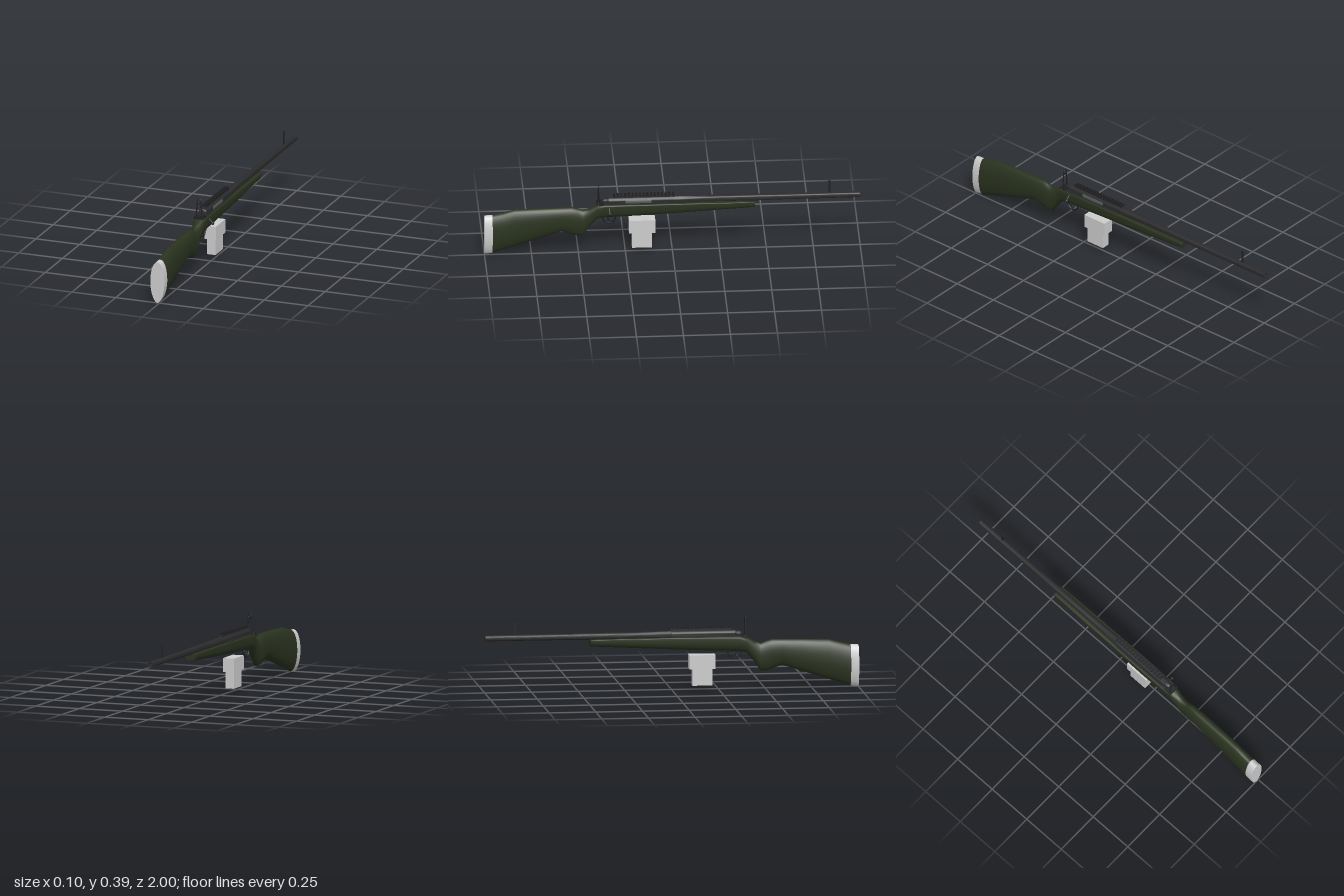
import * as THREE from 'three';
import { toCreasedNormals } from 'three/addons/utils/BufferGeometryUtils.js';

const CX = -0.012; // centre plane of the rifle
const BORE = 0.297; // height of the barrel axis

// Skin rings along z. Section: [z, top, bottom, halfWidth, widestHeight 0..1, topPower, bottomPower]
// A power of 1 is elliptical, lower is boxier, higher is more pointed.
function loft(sections, n = 32) {
  const pos = [], idx = [];
  const ring = ([z, top, bot, hw, mid, pt, pb]) => {
    const start = pos.length / 3, yc = bot + (top - bot) * mid;
    for (let j = 0; j < n; j++) {
      const t = (j / n) * Math.PI * 2, c = Math.cos(t), s = Math.sin(t);
      const p = s >= 0 ? pt : pb, h = s >= 0 ? top - yc : yc - bot;
      pos.push(CX + hw * Math.sign(c) * Math.abs(c) ** p, yc + h * Math.sign(s) * Math.abs(s) ** p, z);
    }
    return start;
  };
  const starts = sections.map(ring);
  for (let i = 0; i < starts.length - 1; i++) {
    for (let j = 0; j < n; j++) {
      const k = (j + 1) % n;
      const a = starts[i] + j, b = starts[i] + k, c = starts[i + 1] + j, d = starts[i + 1] + k;
      idx.push(a, c, b, b, c, d);
    }
  }
  // End caps with their own vertices, so the rims stay sharp
  [sections[0], sections[sections.length - 1]].forEach((sec, e) => {
    const s = ring(sec), m = pos.length / 3;
    pos.push(CX, sec[2] + (sec[1] - sec[2]) * sec[4], sec[0]);
    for (let j = 0; j < n; j++) {
      const k = (j + 1) % n;
      if (e === 0) idx.push(m, s + j, s + k);
      else idx.push(m, s + k, s + j);
    }
  });
  const g = new THREE.BufferGeometry();
  g.setAttribute('position', new THREE.Float32BufferAttribute(pos, 3));
  g.setIndex(idx);
  g.computeVertexNormals();
  return g;
}

export function createModel() {
  const root = new THREE.Group();
  root.name = 'rifle';
  const mat = (name, color) => {
    const m = new THREE.MeshStandardMaterial({ color });
    m.name = name;
    return m;
  };
  const green = mat('olive green', 0x2a331f);
  const metal = mat('dark gunmetal', 0x2b2b2d);
  const black = mat('black steel', 0x1f1f21);
  const steel = mat('bolt steel', 0x585a5a);
  const pale = mat('pale grey', 0xcccccc);

  const add = (name, geo, material, x = 0, y = 0, z = 0, parent = root) => {
    const m = new THREE.Mesh(geo, material);
    m.name = name;
    m.position.set(x, y, z);
    parent.add(m);
    return m;
  };
  const box = (name, w, h, d, material, x, y, z, parent) =>
    add(name, new THREE.BoxGeometry(w, h, d), material, x, y, z, parent);
  // Round rod between two points
  const rod = (name, a, b, r, material, parent = root, r2 = r) => {
    const from = new THREE.Vector3(...a), dir = new THREE.Vector3(...b).sub(from);
    const m = add(name, new THREE.CylinderGeometry(r2, r, dir.length(), 12), material, 0, 0, 0, parent);
    m.position.copy(from).addScaledVector(dir, 0.5);
    m.quaternion.setFromUnitVectors(new THREE.Vector3(0, 1, 0), dir.normalize());
    return m;
  };
  // Lathe turned about the bore; points are [radius, distance toward the muzzle]
  const turned = (name, points, material) => {
    const g = new THREE.LatheGeometry(points.map(([r, d]) => new THREE.Vector2(r, d)), 24);
    g.rotateX(-Math.PI / 2);
    return add(name, toCreasedNormals(g, 0.6), material, CX, BORE, 0);
  };

  // Butt pad and stock
  add('buttPad', loft([
    [1.0, 0.228, 0.002, 0.04, 0.5, 0.95, 1.08],
    [0.957, 0.231, 0.007, 0.04, 0.5, 0.95, 1.08],
  ], 40), pale);
  add('stock', loft([
    [0.957, 0.231, 0.007, 0.0395, 0.5, 0.95, 1.05],
    [0.9, 0.243, 0.027, 0.0385, 0.5, 0.95, 1],
    [0.84, 0.259, 0.045, 0.037, 0.5, 0.95, 1],
    [0.7, 0.263, 0.091, 0.035, 0.5, 0.9, 0.95],
    [0.59, 0.265, 0.126, 0.033, 0.5, 0.9, 0.95],
    [0.535, 0.265, 0.106, 0.031, 0.55, 0.95, 0.95],
    [0.505, 0.257, 0.097, 0.029, 0.55, 0.95, 0.95],
    [0.475, 0.245, 0.097, 0.028, 0.55, 0.95, 0.95],
    [0.44, 0.257, 0.15, 0.028, 0.55, 0.9, 0.9],
    [0.4, 0.281, 0.198, 0.031, 0.6, 0.7, 0.85],
    [0.36, 0.286, 0.205, 0.035, 0.7, 0.4, 0.8],
    [0.2, 0.286, 0.211, 0.037, 0.75, 0.3, 0.75],
    [-0.05, 0.286, 0.223, 0.036, 0.75, 0.3, 0.75],
    [-0.3, 0.284, 0.237, 0.034, 0.75, 0.3, 0.75],
    [-0.43, 0.283, 0.244, 0.032, 0.75, 0.3, 0.75],
    [-0.44, 0.281, 0.247, 0.03, 0.75, 0.35, 0.75],
  ]), green);

  // Barrel with a hollow muzzle, receiver and bolt
  turned('barrel', [
    [0.022, -0.02], [0.022, 0.04], [0.0185, 0.2], [0.018, 0.52],
    [0.0165, 0.53], [0.016, 1.0], [0.009, 1.0], [0.009, 0.96], [0, 0.96],
  ], metal);
  turned('receiver', [
    [0, -0.375], [0.014, -0.372], [0.018, -0.36], [0.018, -0.345],
    [0.0235, -0.34], [0.0235, 0.005], [0, 0.005],
  ], metal);
  box('receiverBed', 0.056, 0.012, 0.36, metal, CX, 0.284, 0.19);
  const port = new THREE.CylinderGeometry(0.0245, 0.0245, 0.14, 12, 1, true, Math.PI * 0.34, Math.PI * 0.4);
  port.rotateX(-Math.PI / 2);
  const bolt = add('bolt', port, steel, CX, BORE, 0.18);
  bolt.material.side = THREE.DoubleSide;
  rod('boltHandle', [0.006, 0.285, 0.335], [0.04, 0.25, 0.335], 0.005, metal, root, 0.004);
  const knob = add('boltKnob', new THREE.SphereGeometry(0.009, 16, 12), metal, 0.043, 0.246, 0.335);
  knob.scale.set(0.95, 1.05, 1);

  // Toothed rail
  const rail = new THREE.Group();
  rail.name = 'topRail';
  root.add(rail);
  box('railBase', 0.022, 0.014, 0.326, metal, CX, 0.321, 0.152, rail);
  for (let i = 0; i < 17; i++) {
    box('railTooth', 0.027, 0.009, 0.011, black, CX, 0.3315, -0.005 + i * 0.0196, rail);
  }

  // Rear ladder sight with peep ring
  const rear = new THREE.Group();
  rear.name = 'rearSight';
  root.add(rear);
  const rz = 0.392;
  box('sightBase', 0.054, 0.009, 0.045, black, CX, 0.287, 0.381, rear);
  add('peepRing', new THREE.TorusGeometry(0.0105, 0.0025, 8, 24), black, CX, 0.38, rz, rear);
  for (const s of [-1, 1]) {
    rod('sightLeg', [CX + s * 0.018, 0.285, rz], [CX + s * 0.01, 0.373, rz], 0.0033, black, rear);
    rod('sightHinge', [CX + s * 0.018, 0.292, rz], [CX + s * 0.028, 0.28, rz], 0.004, black, rear);
  }
  rod('sightRung', [CX - 0.011, 0.367, rz], [CX + 0.011, 0.367, rz], 0.0022, black, rear);
  rod('sightRung', [CX - 0.016, 0.302, rz], [CX + 0.016, 0.302, rz], 0.003, black, rear);

  // Front post sight
  box('frontSight', 0.006, 0.075, 0.009, black, CX, 0.346, -0.838);

  // Trigger guard and trigger
  const loop = new THREE.TorusGeometry(0.033, 0.004, 8, 28);
  loop.rotateY(Math.PI / 2);
  const guard = add('triggerGuard', loop, black, CX, 0.196, 0.336);
  guard.scale.set(1.5, 0.9, 1);
  const curve = new THREE.CatmullRomCurve3([
    new THREE.Vector3(CX, 0.215, 0.338),
    new THREE.Vector3(CX, 0.196, 0.343),
    new THREE.Vector3(CX, 0.18, 0.333),
  ]);
  add('trigger', new THREE.TubeGeometry(curve, 10, 0.0035, 8), black);

  // Magazine blocks below the stock
  box('magazineUpper', 0.064, 0.075, 0.14, pale, CX, 0.152, 0.161);
  box('magazineLower', 0.048, 0.09, 0.106, pale, CX, 0.07, 0.162);

  return root;
}
